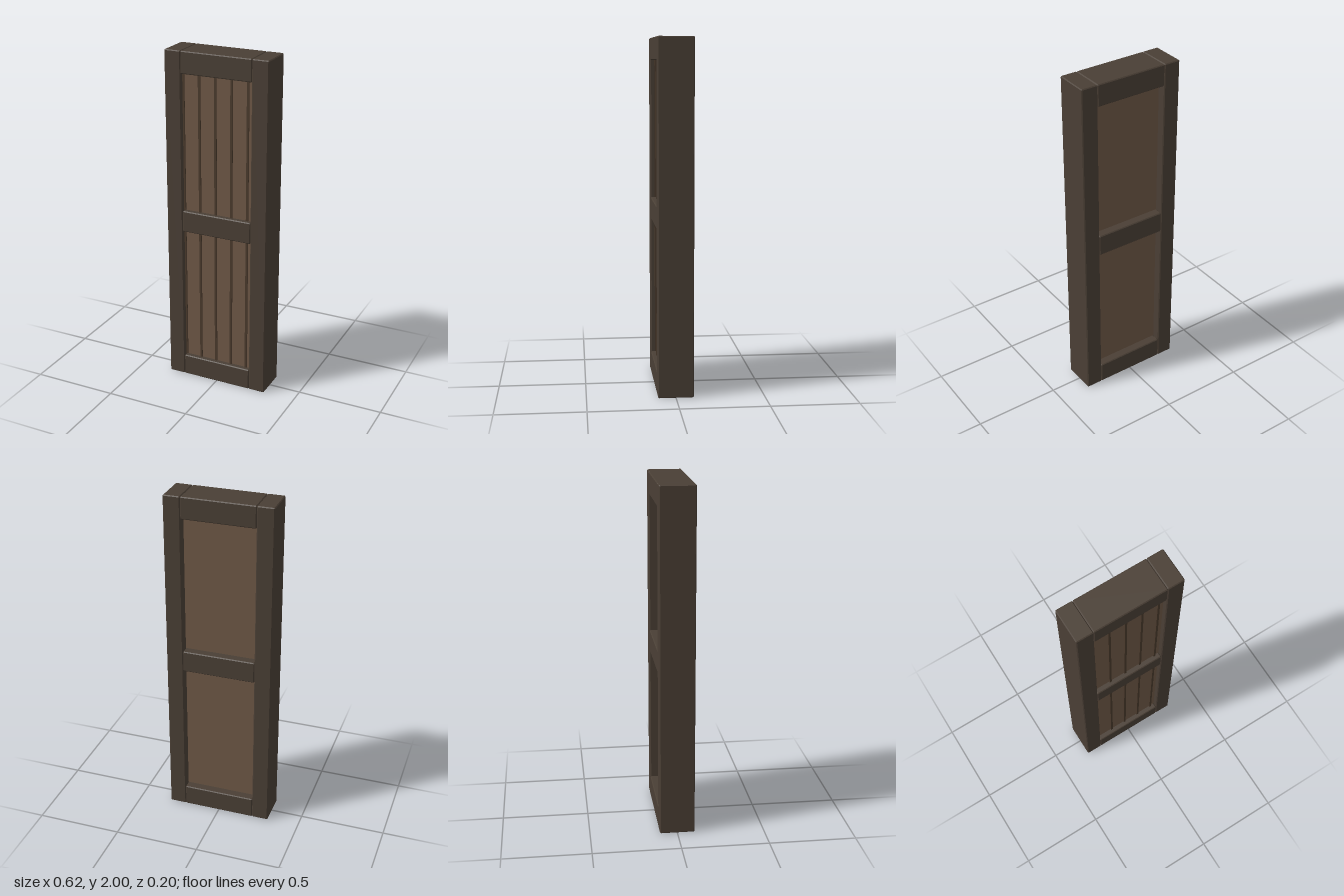
import * as THREE from 'three';
import { ConvexGeometry } from 'three/addons/geometries/ConvexGeometry.js';

const frameMat = new THREE.MeshStandardMaterial({ color: 0x4a3f35 });
const panelMat = new THREE.MeshStandardMaterial({ color: 0x6e5846 });
const stripMat = new THREE.MeshStandardMaterial({ color: 0x4a3a2c });

// Box with every edge cut by a flat chamfer
function chamferBox(w, h, d, b = 0.005) {
  const x = w / 2, y = h / 2, z = d / 2, points = [];
  for (const i of [-1, 1]) for (const j of [-1, 1]) for (const k of [-1, 1]) {
    points.push(
      new THREE.Vector3(i * x, j * (y - b), k * (z - b)),
      new THREE.Vector3(i * (x - b), j * y, k * (z - b)),
      new THREE.Vector3(i * (x - b), j * (y - b), k * z));
  }
  return new ConvexGeometry(points);
}

export function createModel() {
  const model = new THREE.Group();
  model.name = 'panelledShutter';
  const add = (name, geometry, material, x, y, z) => {
    const mesh = new THREE.Mesh(geometry, material);
    mesh.name = name;
    mesh.position.set(x, y, z);
    model.add(mesh);
  };

  // Upright stiles
  const stile = chamferBox(0.098, 2, 0.2);
  add('leftStile', stile, frameMat, 0.2625, 1, 0);
  add('rightStile', stile, frameMat, -0.2625, 1, 0);

  // Cross rails
  const rail = chamferBox(0.426, 0.127, 0.2);
  add('bottomRail', rail, frameMat, 0, 0.0635, 0);
  add('middleRail', rail, frameMat, 0, 1.005, 0);
  add('topRail', rail, frameMat, 0, 1.9365, 0);

  // Recessed panels, deeper set at the back, with thin strips on the front
  for (const [label, bottom, top] of [['lower', 0.127, 0.9415], ['upper', 1.0685, 1.873]]) {
    const h = top - bottom, y = (top + bottom) / 2;
    add(label + 'Panel', new THREE.BoxGeometry(0.426, h, 0.12), panelMat, 0, y, 0.01);
    const strip = new THREE.BoxGeometry(0.013, h, 0.012);
    for (let i = 0; i < 5; i++) {
      add(label + 'PanelStrip', strip, stripMat, -0.21 + i * 0.098, y, 0.071);
    }
  }
  return model;
}
